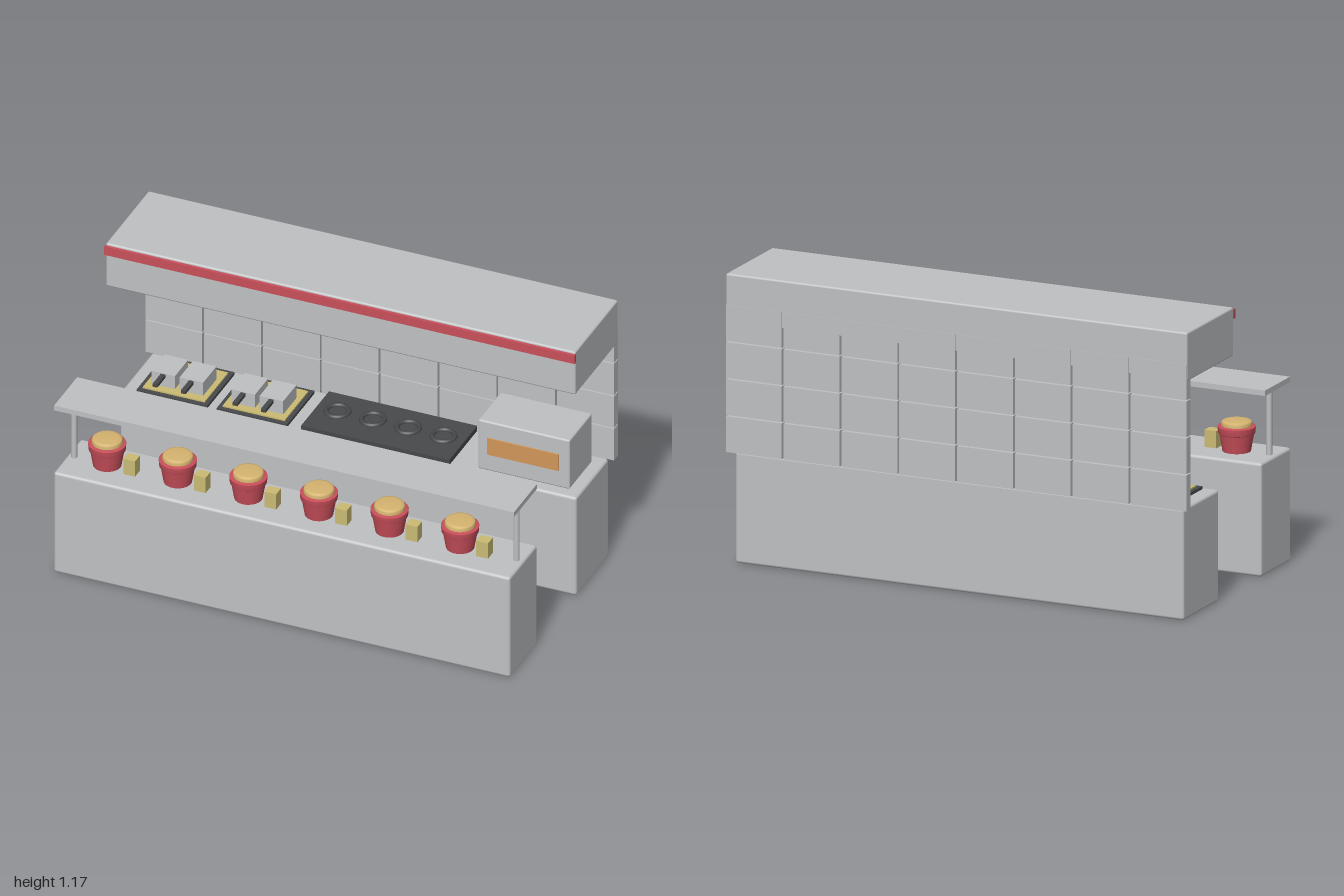
import * as THREE from 'three';
import { RoundedBoxGeometry } from 'three/addons/geometries/RoundedBoxGeometry.js';

const mat = (name, color) => {
  const m = new THREE.MeshStandardMaterial({ color });
  m.name = name;
  return m;
};

export function createModel() {
  const steel = mat('steel', 0xbfc1c3);
  const red = mat('red', 0xc94f5a);
  const cream = mat('cream', 0xd6b470);
  const straw = mat('straw', 0xcbbb74);
  const amber = mat('amber', 0xd2975a);
  const dark = mat('dark iron', 0x48494c);

  const model = new THREE.Group();
  model.name = 'kitchenCounter';

  const add = (name, geometry, material, x = 0, y = 0, z = 0, parent = model) => {
    const mesh = new THREE.Mesh(geometry, material);
    mesh.name = name;
    mesh.position.set(x, y, z);
    parent.add(mesh);
    return mesh;
  };
  // Box given by its limits on each axis; bevel > 0 rounds its edges
  const box = (name, material, [x0, x1], [y0, y1], [z0, z1], bevel = 0, parent = model) => {
    const size = [x1 - x0, y1 - y0, z1 - z0];
    const geometry = bevel
      ? new RoundedBoxGeometry(...size, 2, bevel)
      : new THREE.BoxGeometry(...size);
    return add(name, geometry, material, (x0 + x1) / 2, (y0 + y1) / 2, (z0 + z1) / 2, parent);
  };
  const group = (name, x = 0, y = 0, z = 0) => {
    const g = new THREE.Group();
    g.name = name;
    g.position.set(x, y, z);
    model.add(g);
    return g;
  };

  // Counters
  box('frontCounter', steel, [-0.97, 0.97], [0, 0.46], [0.23, 0.5], 0.012);
  box('backCounter', steel, [-0.97, 0.97], [0, 0.452], [-0.47, -0.15], 0.012);

  // Extractor hood with its trim
  box('hood', steel, [-0.998, 0.998], [0.977, 1.175], [-0.496, -0.077], 0.008);
  box('hoodTrim', red, [-1, 1], [1.128, 1.166], [-0.08, -0.065]);

  // Tiled back wall with open joints
  const wall = group('tiledWall');
  for (let row = 0; row < 4; row++) {
    for (let col = 0; col < 8; col++) {
      const x = -1 + col * 0.25, y = 0.453 + row * 0.15;
      box('wallTile', steel, [x + 0.004, x + 0.246], [y, y + 0.145], [-0.498, -0.46], 0, wall);
    }
  }

  // Serving shelf, heat lamp and posts
  box('servingShelf', steel, [-0.977, 0.977], [0.73, 0.752], [0.25, 0.475]);
  box('heatLamp', amber, [-0.93, 0.93], [0.714, 0.731], [0.302, 0.427]);
  for (const side of [-1, 1]) {
    add('shelfPost', new THREE.CylinderGeometry(0.012, 0.012, 0.272, 16), steel, side * 0.94, 0.595, 0.364);
  }

  // Buckets with domed filling, each beside a small carton
  const bucketGeo = new THREE.LatheGeometry([
    [0, 0], [0.056, 0], [0.056, 0], [0.068, 0.07], [0.068, 0.07], [0.073, 0.074],
    [0.075, 0.1], [0.075, 0.1], [0.06, 0.104], [0, 0.104],
  ].map(([r, y]) => new THREE.Vector2(r, y)), 28);
  const fillGeo = new THREE.LatheGeometry([
    [0.061, 0.1], [0.061, 0.115], [0.057, 0.121], [0.045, 0.124], [0, 0.125],
  ].map(([r, y]) => new THREE.Vector2(r, y)), 28);
  for (let i = 0; i < 6; i++) {
    const serving = group('serving', -0.8 + i * 0.3, 0.46, 0.363);
    add('bucket', bucketGeo, red, 0, 0, 0, serving);
    add('bucketFilling', fillGeo, cream, 0, 0, 0, serving);
    box('carton', straw, [0.085, 0.135], [0, 0.07], [-0.008, 0.039], 0, serving);
  }

  // Fryers: dark frame, oil, two baskets with handles
  for (const x of [-0.76, -0.42]) {
    const fryer = group('fryer', x, 0.45, -0.31);
    box('fryerFrame', dark, [-0.15, 0.15], [0, 0.014], [-0.135, 0.135], 0, fryer);
    box('fryerOil', straw, [-0.132, 0.132], [0.013, 0.02], [-0.115, 0.115], 0, fryer);
    for (const side of [-1, 1]) {
      const bx = side * 0.06;
      box('fryerBasket', steel, [bx - 0.05, bx + 0.05], [0.02, 0.08], [-0.05, 0.08], 0, fryer);
      box('basketHandle', dark, [bx - 0.01, bx + 0.01], [0.063, 0.077], [0.079, 0.16], 0, fryer);
    }
  }

  // Hob with four ring burners
  box('hob', dark, [-0.21, 0.42], [0.45, 0.475], [-0.448, -0.176]);
  const ringGeo = new THREE.TorusGeometry(0.045, 0.01, 8, 28).rotateX(Math.PI / 2);
  for (let i = 0; i < 4; i++) {
    add('burnerRing', ringGeo, dark, -0.12 + i * 0.15, 0.477, -0.325);
  }

  // Oven with a warm window
  box('oven', steel, [0.53, 0.92], [0.45, 0.676], [-0.422, -0.2], 0.008);
  box('ovenWindow', amber, [0.572, 0.875], [0.528, 0.603], [-0.202, -0.194]);

  return model;
}
